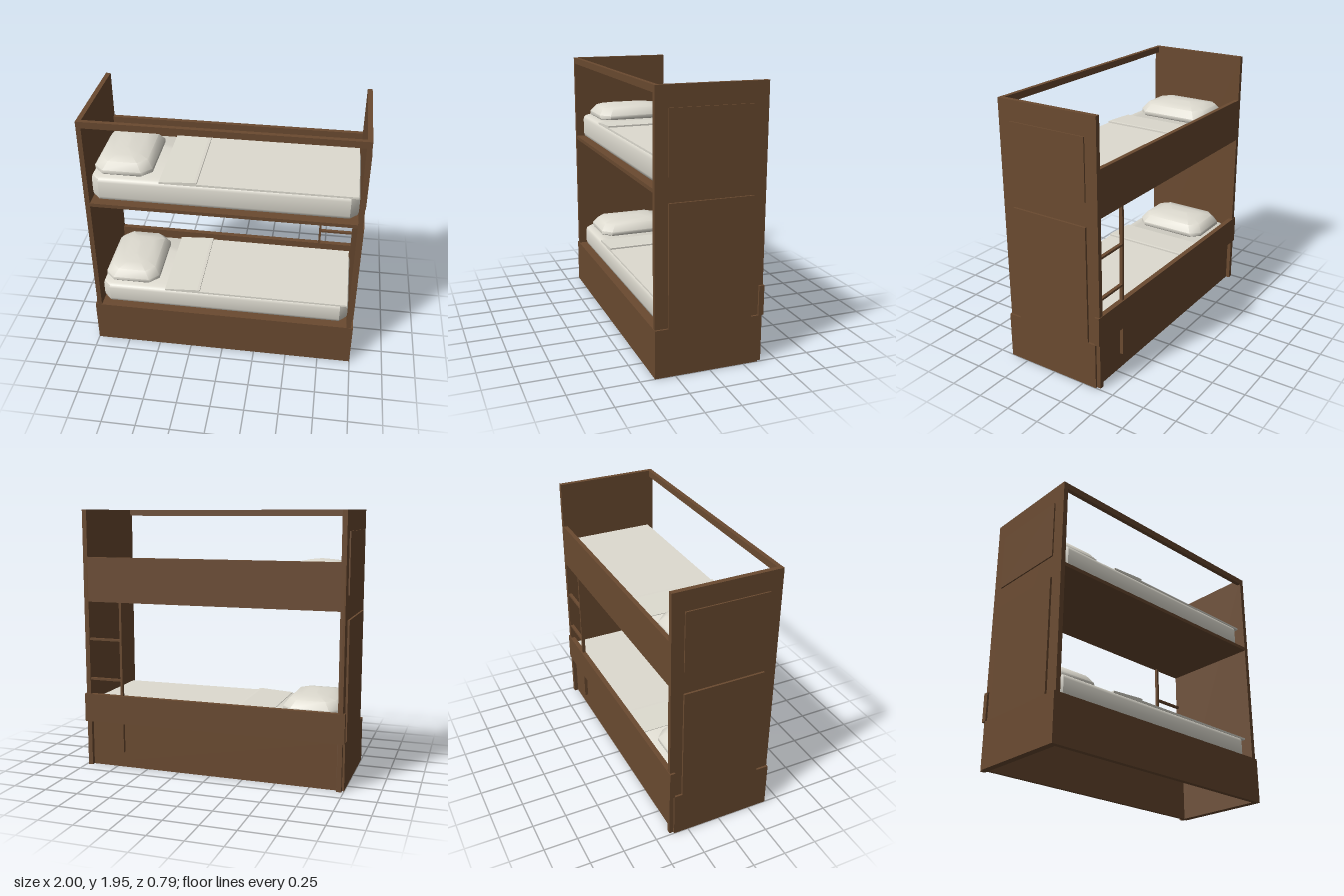
import * as THREE from 'three';
import { toCreasedNormals } from 'three/addons/utils/BufferGeometryUtils.js';

const wood = new THREE.MeshStandardMaterial({ color: 0x6a4a30 });
const linen = new THREE.MeshStandardMaterial({ color: 0xdedbd0 });

// Box given by its min and max on each axis
function slab(parent, name, [x0, x1], [y0, y1], [z0, z1]) {
  const mesh = new THREE.Mesh(new THREE.BoxGeometry(x1 - x0, y1 - y0, z1 - z0), wood);
  mesh.position.set((x0 + x1) / 2, (y0 + y1) / 2, (z0 + z1) / 2);
  mesh.name = name;
  parent.add(mesh);
  return mesh;
}

// Octagonal loops (half width, half depth, corner cut, height) joined bottom to top
function loft(loops, crease) {
  const pos = [], idx = [], n = 8;
  for (const [w, d, c, y] of loops) {
    const ring = [[w, d - c], [w - c, d], [c - w, d], [-w, d - c], [-w, c - d], [c - w, -d], [w - c, -d], [w, c - d]];
    for (const [x, z] of ring) pos.push(x, y, z);
  }
  const last = (loops.length - 1) * n;
  for (let k = 0; k < last; k += n) {
    for (let i = 0; i < n; i++) {
      const j = (i + 1) % n;
      idx.push(k + i, k + n + i, k + j, k + j, k + n + i, k + n + j);
    }
  }
  for (let i = 1; i < n - 1; i++) {
    idx.push(0, i, i + 1);
    idx.push(last, last + i + 1, last + i);
  }
  const g = new THREE.BufferGeometry();
  g.setAttribute('position', new THREE.Float32BufferAttribute(pos, 3));
  g.setIndex(idx);
  return toCreasedNormals(g, crease);
}

function soft(parent, name, geometry, x, y, z = 0) {
  const mesh = new THREE.Mesh(geometry, linen);
  mesh.name = name;
  mesh.position.set(x, y, z);
  parent.add(mesh);
}

// Mattress, blanket with folded edge, and pillow; y is the underside
function bedding(name, y, height) {
  const bed = new THREE.Group();
  bed.name = name;
  const h = height;
  soft(bed, 'mattress', loft([
    [0.925, 0.32, 0.05, 0], [0.943, 0.338, 0.055, 0.012], [0.95, 0.345, 0.06, 0.035],
    [0.95, 0.345, 0.06, h - 0.035], [0.943, 0.338, 0.055, h - 0.012], [0.925, 0.32, 0.05, h],
  ], 0.75), 0, 0);

  const section = new THREE.Shape([
    [-0.45, h - 0.01], [0.94, h - 0.01], [0.94, h + 0.004], [-0.18, h + 0.006],
    [-0.18, h + 0.018], [-0.2, h + 0.019], [-0.45, h + 0.004],
  ].map(([a, b]) => new THREE.Vector2(a, b)));
  soft(bed, 'blanket', new THREE.ExtrudeGeometry(section, { depth: 0.68, bevelEnabled: false }), 0, 0, -0.34);

  soft(bed, 'pillow', loft([
    [0.205, 0.285, 0.07, 0], [0.21, 0.29, 0.07, 0.006], [0.21, 0.29, 0.07, 0.032],
    [0.17, 0.25, 0.065, 0.086], [0.09, 0.17, 0.04, 0.102], [0.012, 0.08, 0.006, 0.112],
  ], 0.8), -0.727, h + 0.003);
  bed.position.y = y;
  return bed;
}

export function createModel() {
  const model = new THREE.Group();
  model.name = 'bunkBed';

  // End walls with raised panels and plinth sides
  for (const s of [-1, 1]) {
    const end = new THREE.Group();
    end.name = s > 0 ? 'leftEnd' : 'rightEnd';
    const span = (a, b) => (s > 0 ? [a, b] : [-b, -a]);
    slab(end, 'endWall', span(0.95, 0.985), [0, 1.948], [-0.39, 0.392]);
    slab(end, 'lowerPanel', span(0.98, 1), [0.34, 1.2], [-0.3, 0.3]);
    slab(end, 'upperPanel', span(0.98, 0.995), [1.37, 1.805], [-0.3, 0.3]);
    slab(end, 'plinthSide', span(0.98, 1), [0, 0.345], [-0.36, 0.38]);
    model.add(end);
  }

  // Hollow plinth, decks and rails
  slab(model, 'plinthFront', [-1, 1], [0, 0.345], [0.36, 0.395]);
  slab(model, 'plinthBack', [-0.95, 0.95], [0, 0.345], [-0.36, -0.335]);
  slab(model, 'lowerDeck', [-0.95, 0.95], [0.32, 0.344], [-0.36, 0.37]);
  slab(model, 'lowerBackBoard', [-1, 1], [0.345, 0.56], [-0.395, -0.357]);
  slab(model, 'upperDeck', [-0.95, 0.95], [1.268, 1.295], [-0.36, 0.392]);
  slab(model, 'upperBackBoard', [-0.95, 0.95], [1.268, 1.6], [-0.39, -0.357]);
  slab(model, 'topFrontRail', [-0.95, 0.95], [1.9, 1.948], [0.36, 0.392]);

  // Ladder at the back
  const ladder = new THREE.Group();
  ladder.name = 'ladder';
  slab(ladder, 'ladderPost', [0.685, 0.703], [0.12, 1.27], [-0.385, -0.36]);
  for (const y of [0.67, 0.975]) slab(ladder, 'rung', [0.7, 0.95], [y, y + 0.016], [-0.385, -0.36]);
  model.add(ladder);

  model.add(bedding('lowerBedding', 0.345, 0.168));
  model.add(bedding('upperBedding', 1.295, 0.188));
  return model;
}
